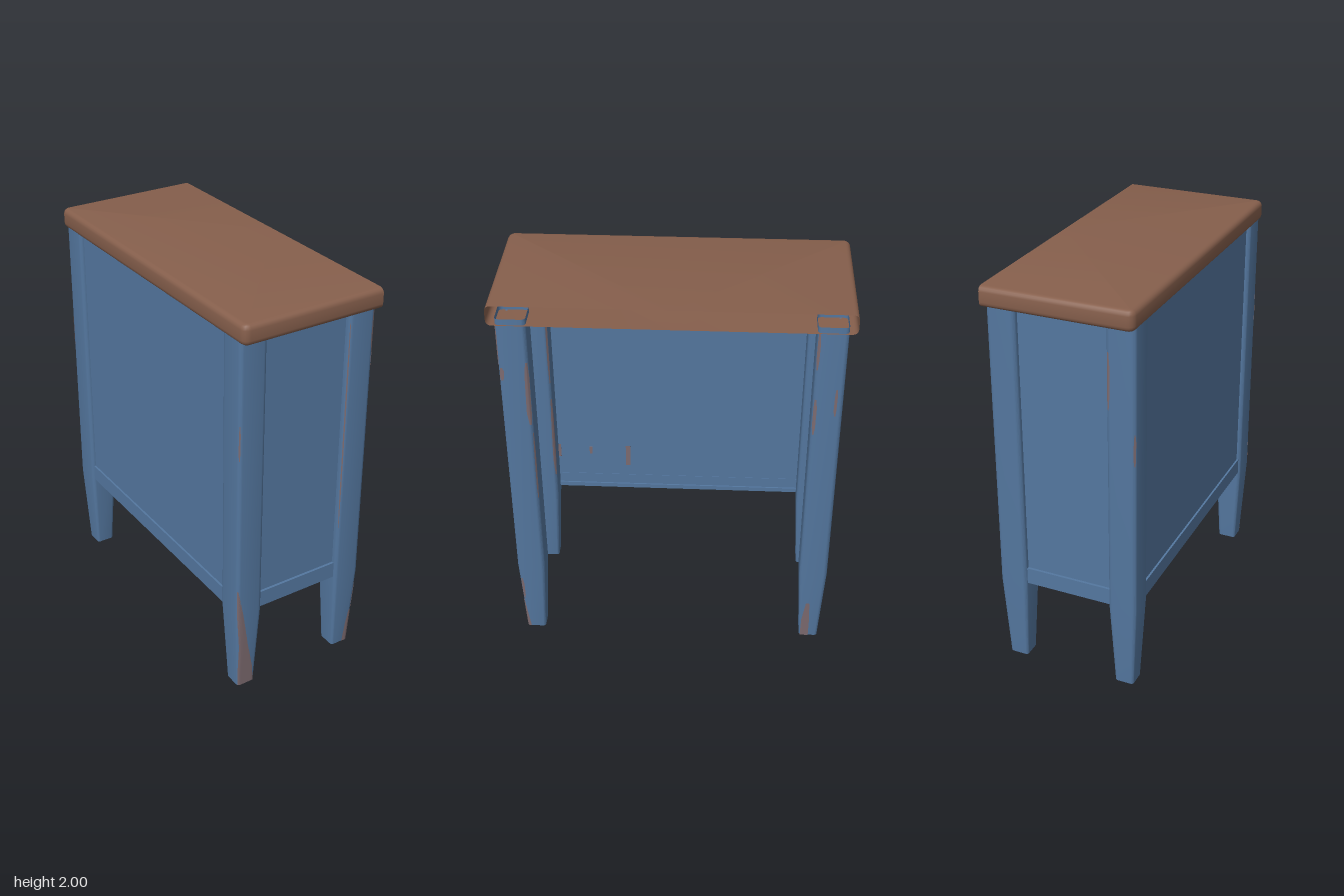
import * as THREE from 'three';
import { toCreasedNormals } from 'three/addons/utils/BufferGeometryUtils.js';

const H = 0.071, LEG_X = 0.292, LEG_Z = 0.731, TAPER_Y = 0.45;

// Skin a grid of points; rows run bottom to top, columns left to right from outside
function skin(rows) {
  const n = rows[0].length, index = [];
  for (let j = 0; j < rows.length - 1; j++) {
    for (let i = 0; i < n - 1; i++) {
      const a = j * n + i, b = a + 1, c = a + n, d = c + 1;
      index.push(a, b, d, a, d, c);
    }
  }
  const geo = new THREE.BufferGeometry();
  geo.setAttribute('position', new THREE.Float32BufferAttribute(rows.flat(2), 3));
  geo.setIndex(index);
  return toCreasedNormals(geo, 0.6);
}

// Point on a leg: u goes round from 0 to 4, one unit per face (+x, -z, -x, +z)
function legPoint(u, y, grow = 0) {
  const corners = [[1, 1], [1, -1], [-1, -1], [-1, 1]];
  u = ((u % 4) + 4) % 4;
  const k = Math.floor(u), t = u - k, a = corners[k], b = corners[(k + 1) % 4];
  const h = THREE.MathUtils.lerp(0.048, H, Math.min(1, y / TAPER_Y)), r = 0.28 * h;
  const p = [0, 1].map(i => h * (a[i] + (b[i] - a[i]) * t));
  const q = p.map(v => THREE.MathUtils.clamp(v, r - h, h - r));
  const len = Math.hypot(p[0] - q[0], p[1] - q[1]);
  const [x, z] = q.map((v, i) => v + (p[i] - v) / len * (r + grow));
  return [x, y, z];
}

function legGeometry() {
  const us = [];
  for (let k = 0; k < 4; k++) us.push(k, k + 0.07, k + 0.14, k + 0.86, k + 0.93);
  us.push(4);
  return skin([0, TAPER_Y, 1.93].map(y => us.map(u => legPoint(u, y))));
}

// Worn patch lying just over a leg, given as rows of [y, uStart, uEnd]
function patchGeometry(rows) {
  const n = 10;
  return skin(rows.map(([y, u0, u1]) =>
    Array.from({ length: n + 1 }, (_, i) => legPoint(u0 + (u1 - u0) * i / n, y, 0.002))));
}

// Patch with narrow ends
function streak(y0, y1, u0, u1) {
  const m = (u0 + u1) / 2, w = (u1 - u0) / 2, d = y1 - y0;
  return [[y0, m - w * 0.4, m + w * 0.4], [y0 + d * 0.2, m - w, m + w * 0.8],
    [y0 + d * 0.75, m - w * 0.8, m + w], [y1, m - w * 0.4, m + w * 0.5]];
}

// Hollow top with rounded rim on three sides, open along +x
function topGeometry() {
  const X = 0.37, Z = 0.84, R = 0.035, r = 0.026, y0 = 1.9, y1 = 2, steps = 4;
  const outline = (d, y) => {
    const pts = [[X, y, -Z + d]];
    for (const s of [-1, 1]) {
      for (let i = 0; i <= steps; i++) {
        const a = (s < 0 ? i : steps - i) / steps * Math.PI / 2;
        pts.push([-X + R - (R - d) * Math.sin(a), y, s * (Z - R + (R - d) * Math.cos(a))]);
      }
    }
    pts.push([X, y, Z - d]);
    return pts;
  };
  const profile = [];
  for (const s of [-1, 1]) {
    for (let i = 0; i <= steps; i++) {
      const a = (s < 0 ? steps - i : i) / steps * Math.PI / 2;
      profile.push([r * (1 - Math.cos(a)), s < 0 ? y0 + r - r * Math.sin(a) : y1 - r + r * Math.sin(a)]);
    }
  }
  const rows = profile.map(([d, y]) => outline(d, y));
  const cap = y => rows[0].map(() => [X, y, 0]);
  return skin([cap(y0), ...rows, cap(y1)]);
}

export function createModel() {
  const group = new THREE.Group();
  const material = (name, color) => {
    const m = new THREE.MeshStandardMaterial({ color, side: THREE.DoubleSide });
    m.name = name;
    return m;
  };
  const blue = material('blue paint', 0x54779f);
  const brown = material('brown wood', 0x865f4c);
  const worn = material('worn paint', 0x7d6b70);

  const add = (name, geo, mat, x = 0, y = 0, z = 0) => {
    const mesh = new THREE.Mesh(geo, mat);
    mesh.name = name;
    mesh.position.set(x, y, z);
    group.add(mesh);
  };
  // Box from its limits
  const box = (name, mat, x0, x1, y0, y1, z0, z1) =>
    add(name, new THREE.BoxGeometry(x1 - x0, y1 - y0, z1 - z0), mat,
      (x0 + x1) / 2, (y0 + y1) / 2, (z0 + z1) / 2);

  add('top', topGeometry(), brown);

  // Legs
  const leg = legGeometry();
  for (const sx of [-1, 1]) {
    for (const sz of [-1, 1]) add('leg', leg, blue, sx * LEG_X, 0, sz * LEG_Z);
  }

  // End panels with bottom rails
  for (const s of [-1, 1]) {
    const span = (name, y0, y1, a, b) =>
      box(name, blue, -0.23, 0.23, y0, y1, Math.min(s * a, s * b), Math.max(s * a, s * b));
    span('endPanel', 0.5, 1.9, 0.762, 0.772);
    span('endRail', 0.45, 0.535, 0.76, 0.785);
  }

  // Long panel with bottom rail and inner lip
  box('longPanel', blue, -0.342, -0.332, 0.5, 1.9, -0.67, 0.67);
  box('longRail', blue, -0.352, -0.33, 0.45, 0.535, -0.67, 0.67);
  box('longRailLip', blue, -0.335, -0.322, 0.45, 0.475, -0.67, 0.67);

  // Worn spots inside the long panel
  for (const [z, y, w, h] of [[0.655, 0.69, 0.02, 0.08], [0.48, 0.695, 0.015, 0.045], [0.275, 0.665, 0.025, 0.13]]) {
    box('panelWear', worn, -0.333, -0.33, y - h / 2, y + h / 2, z - w / 2, z + w / 2);
  }

  // Worn edges of the legs: [x side, z side, patches]
  const wear = [
    [-1, 1, [
      [[0, 3, 3.95], [0.1, 3, 3.8], [0.25, 3.08, 3.5], [0.45, 2.98, 3.25], [0.6, 2.97, 3.04]],
      streak(1.32, 1.5, 2.95, 3.05), streak(0.6, 1.1, 0.9, 1.1), streak(1.2, 1.85, 0.93, 1.07),
    ]],
    [1, 1, [
      [[0, 3.65, 4.2], [0.12, 3.75, 4.1], [0.2, 3.85, 4.02]],
      streak(1.68, 1.9, 3.88, 4.02), streak(0.75, 1.85, 2.97, 3.05), streak(1.35, 1.7, 0.82, 1.05),
      streak(1.6, 1.67, 0, 0.18), streak(0.21, 0.36, 0, 0.15), streak(0.9, 1.3, 0.96, 1.08),
    ]],
    [1, -1, [
      [[0, 0.05, 0.5], [0.12, 0.12, 0.5], [0.24, 0.3, 0.45]],
      streak(1.7, 1.9, -0.04, 0.12), streak(1.34, 1.54, 0, 0.15), streak(1.45, 1.6, 0.7, 0.8),
    ]],
    [-1, -1, [streak(1.5, 1.78, 1, 1.14), streak(1.24, 1.4, 1.93, 2.07)]],
  ];
  for (const [sx, sz, patches] of wear) {
    for (const p of patches) add('legWear', patchGeometry(p), worn, sx * LEG_X, 0, sz * LEG_Z);
  }
  return group;
}
